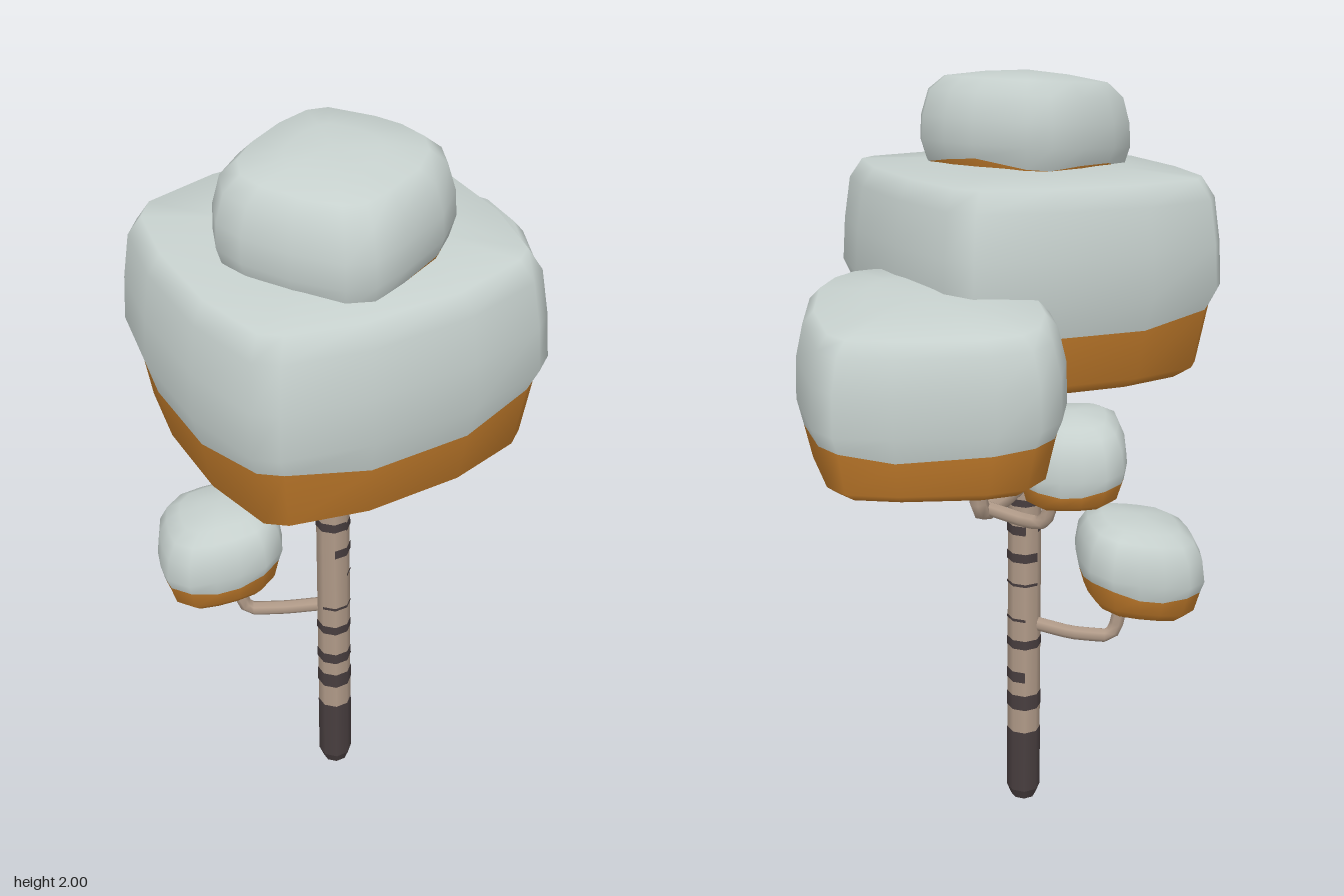
import * as THREE from 'three';

const mat = (name, color, side = THREE.FrontSide) =>
  Object.assign(new THREE.MeshStandardMaterial({ color, side }), { name });

export function createModel() {
  const snow = mat('snow', 0xc6d0cd);
  const leaf = mat('orange foliage', 0xc67e2c);
  const bark = mat('pale bark', 0xb09a88);
  const dark = mat('dark bark', 0x483e3f);
  const model = new THREE.Group();
  model.name = 'snowyBirch';

  const add = (name, geometry, material) => {
    const mesh = new THREE.Mesh(geometry, material);
    mesh.name = name;
    model.add(mesh);
    return mesh;
  };

  // Rounded square outline, ordered by rising angle from x towards z
  const roundedSquare = (cx, cz, rx, rz, turn, n = 16) =>
    Array.from({ length: n }, (_, i) => {
      const a = (i + 0.5) / n * Math.PI * 2, c = Math.cos(a), s = Math.sin(a);
      const r = Math.pow(c ** 4 + s ** 4, -0.2);
      return [cx + Math.cos(a + turn) * r * rx, cz + Math.sin(a + turn) * r * rz];
    });

  // Foliage clump: rings of [scale, height] over an outline; rings up to
  // index `split` are leaves and the rest is snow. `slope` tilts the clump.
  function clump(name, outline, [cx, cz], rings, split, slope, wave, turn) {
    const n = outline.length, pos = [], index = [];
    const put = (x, y, z) =>
      pos.push(x, y + slope[0] * (x - cx) + slope[1] * (z - cz), z);
    put(cx, rings[0][1], cz);
    rings.forEach(([s, y], k) => outline.forEach(([x, z]) => {
      const a = Math.atan2(z - cz, x - cx) - turn;
      const lift = k === split ? -wave * Math.cos(4 * a) : 0;
      put(cx + (x - cx) * s, y + lift, cz + (z - cz) * s);
    }));
    put(cx, rings.at(-1)[1] + 0.008, cz);
    const at = (k, i) => 1 + k * n + (i % n), last = pos.length / 3 - 1;
    for (let i = 0; i < n; i++) index.push(0, at(0, i), at(0, i + 1));
    let leafCount = 0;
    for (let k = 0; k < rings.length - 1; k++) {
      for (let i = 0; i < n; i++) {
        const a = at(k, i), b = at(k, i + 1), c = at(k + 1, i), d = at(k + 1, i + 1);
        index.push(a, c, b, b, c, d);
      }
      if (k + 1 === split) leafCount = index.length;
    }
    const top = rings.length - 1;
    for (let i = 0; i < n; i++) index.push(at(top, i), last, at(top, i + 1));
    const g = new THREE.BufferGeometry();
    g.setAttribute('position', new THREE.Float32BufferAttribute(pos, 3));
    g.setIndex(index);
    g.addGroup(0, leafCount, 0);
    g.addGroup(leafCount, index.length - leafCount, 1);
    g.computeVertexNormals();
    add(name, g, [leaf, snow]);
  }

  // Main crown
  clump('mainCrown', [
    [-0.55, -0.2], [-0.5, -0.26], [-0.29, -0.31], [-0.03, -0.31], [0.17, -0.27], [0.22, -0.21],
    [0.255, 0], [0.26, 0.25], [0.22, 0.45], [0.17, 0.49], [-0.03, 0.54], [-0.29, 0.54],
    [-0.49, 0.49], [-0.54, 0.45], [-0.585, 0.25], [-0.585, 0],
  ], [-0.16, 0.115], [
    [0.5, 1.245], [0.8, 1.25], [0.89, 1.28], [0.945, 1.415], [1, 1.49], [0.985, 1.6],
    [0.95, 1.71], [0.88, 1.76], [0.5, 1.772],
  ], 3, [0.04, -0.045], 0.02, 0);

  // Rear side crown
  clump('sideCrown', [
    [0.06, -0.51], [0.13, -0.545], [0.23, -0.525], [0.44, -0.43], [0.555, -0.355], [0.58, -0.29],
    [0.55, -0.1], [0.47, 0.07], [0.4, 0.135], [0.33, 0.16], [0.27, 0.15], [0.1, 0.08],
    [-0.03, -0.01], [-0.06, -0.08], [-0.04, -0.28], [0.0, -0.42],
  ], [0.26, -0.19], [
    [0.5, 1.14], [0.8, 1.145], [0.89, 1.17], [0.95, 1.265], [1, 1.32], [0.99, 1.42],
    [0.93, 1.5], [0.84, 1.53], [0.45, 1.545],
  ], 3, [-0.05, 0.06], 0.012, 0.4);

  // Top cap
  clump('topCap', [
    [-0.23, -0.06], [-0.13, -0.08], [-0.07, -0.06], [0.02, 0.06], [0.06, 0.14], [0.08, 0.23],
    [0.055, 0.3], [-0.02, 0.37], [-0.14, 0.42], [-0.23, 0.445], [-0.29, 0.42], [-0.37, 0.32],
    [-0.43, 0.21], [-0.45, 0.13], [-0.42, 0.05], [-0.34, -0.01],
  ], [-0.19, 0.18], [
    [0.5, 1.69], [0.78, 1.7], [0.87, 1.72], [0.94, 1.765], [1, 1.81], [0.99, 1.87],
    [0.92, 1.935], [0.77, 1.97], [0.4, 1.985],
  ], 3, [0.09, -0.09], 0.01, 0.3);

  // Two small clumps on the lower branches
  clump('lowerClump', roundedSquare(-0.352, -0.18, 0.165, 0.165, 0.3), [-0.352, -0.18], [
    [0.45, 0.628], [0.72, 0.634], [0.86, 0.66], [0.94, 0.71], [1, 0.75], [0.95, 0.81],
    [0.82, 0.85], [0.6, 0.87], [0.3, 0.876],
  ], 3, [0.15, 0.06], 0.01, 0.3);
  clump('rearClump', roundedSquare(-0.035, -0.382, 0.13, 0.135, 0.5), [-0.035, -0.382], [
    [0.45, 1.068], [0.72, 1.073], [0.87, 1.09], [0.95, 1.125], [1, 1.16], [0.95, 1.21],
    [0.82, 1.25], [0.6, 1.268], [0.3, 1.275],
  ], 3, [-0.08, 0.04], 0.008, 0.5);

  // Trunk, leaning slightly to its left and back
  const lean = (g) => {
    const p = g.attributes.position;
    for (let i = 0; i < p.count; i++) {
      const y = p.getY(i);
      p.setX(i, p.getX(i) - 0.104 + 0.011 * y);
      p.setZ(i, p.getZ(i) - 0.003 - 0.015 * y);
    }
    return g;
  };
  const ring = (r0, r1, y0, y1, open, start = 0, faces = 8) => lean(
    new THREE.CylinderGeometry(r1, r0, y1 - y0, faces, 1, open,
      (start + 0.5) * Math.PI / 4, faces * Math.PI / 4).translate(0, (y0 + y1) / 2, 0));
  add('trunk', ring(0.045, 0.044, 0.22, 1.32, false), bark);
  add('trunkBase', ring(0.046, 0.046, 0.03, 0.22, false), dark);
  add('trunkFoot', ring(0.034, 0.046, 0, 0.03, false), dark);

  // Bark marks: [height, thickness, first face, face count]
  [
    [0.315, 0.045, 0, 8], [0.395, 0.032, 5, 6], [0.495, 0.026, 0, 8], [0.57, 0.008, 6, 5],
    [0.675, 0.008, 0, 4], [0.755, 0.026, 7, 5], [0.835, 0.026, 0, 3], [0.84, 0.026, 4, 4],
    [0.915, 0.02, 0, 4], [1.04, 0.028, 0, 8], [1.12, 0.018, 3, 3],
  ].forEach(([y, h, start, faces], i) =>
    add('barkMark' + (i + 1), ring(0.0465, 0.0465, y - h / 2, y + h / 2, true, start, faces), dark));

  // Bent branches
  const branch = (name, r, ...pts) => {
    const path = new THREE.CurvePath();
    const v = pts.map((p) => new THREE.Vector3(...p));
    const curve = new THREE.CatmullRomCurve3(v, false, 'catmullrom', 0.15);
    path.add(curve);
    add(name, new THREE.TubeGeometry(curve, 14, r, 7), bark);
  };
  branch('lowerBranch', 0.019, [-0.1, 0.555, -0.02], [-0.2, 0.53, -0.09], [-0.285, 0.525, -0.14],
    [-0.305, 0.55, -0.15], [-0.325, 0.67, -0.16]);
  branch('sideBranch', 0.024, [-0.09, 0.965, -0.02], [0.0, 0.965, -0.1], [0.1, 0.97, -0.18],
    [0.122, 1.0, -0.195], [0.137, 1.17, -0.2]);
  branch('rearBranch', 0.018, [0.1, 0.985, -0.18], [0.04, 0.975, -0.27], [0.015, 0.98, -0.32],
    [0.005, 1.0, -0.335], [-0.012, 1.1, -0.355]);
  branch('upperBranch', 0.021, [-0.09, 1.155, -0.02], [-0.15, 1.145, 0.07], [-0.205, 1.14, 0.15],
    [-0.225, 1.165, 0.175], [-0.247, 1.29, 0.21]);

  return model;
}
